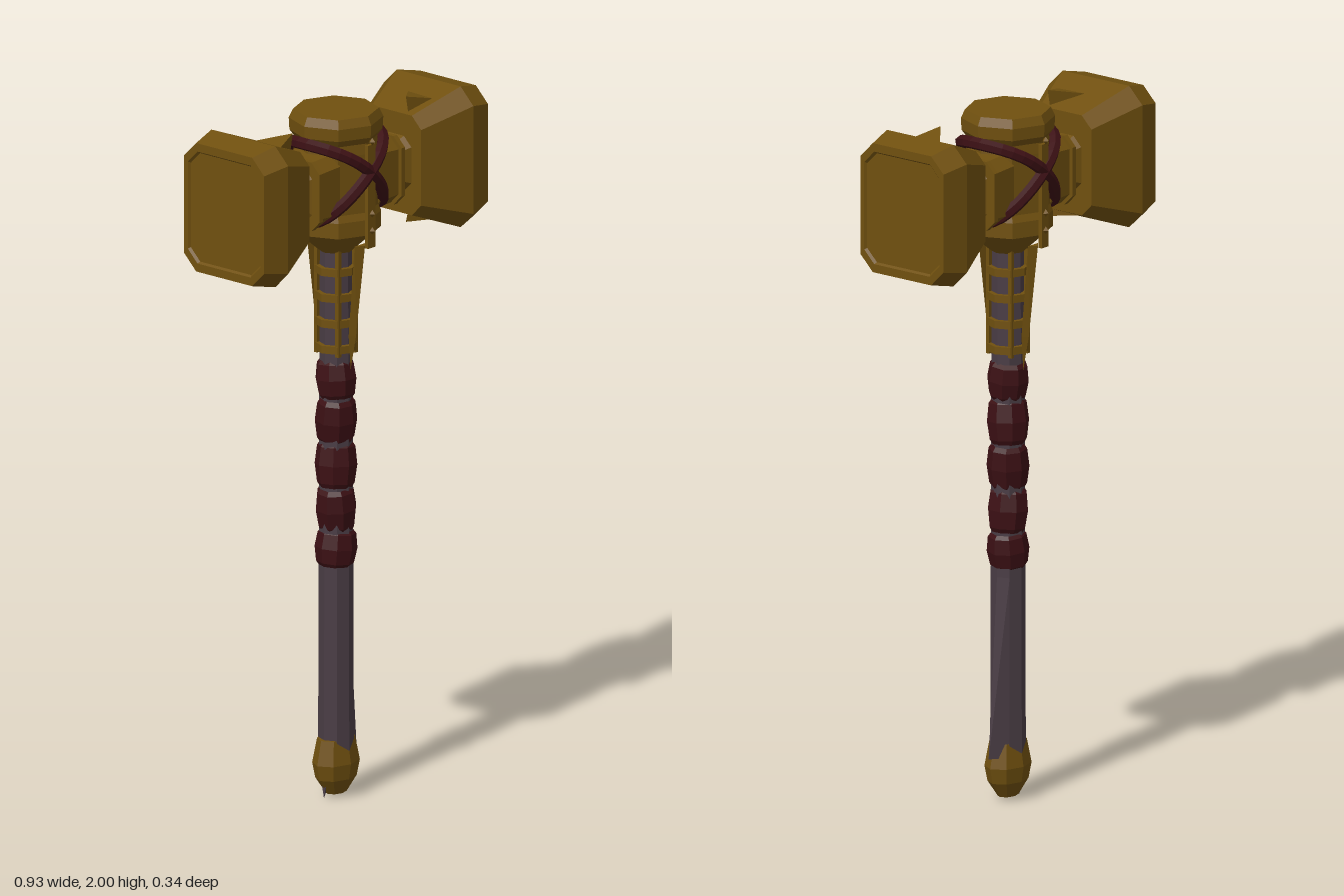
import * as THREE from 'three';
import { ConvexGeometry } from 'three/addons/geometries/ConvexGeometry.js';

const material = (name, color) => {
  const m = new THREE.MeshStandardMaterial({ color });
  m.name = name;
  m.flatShading = true;
  return m;
};

// Chamfered rectangle ring around the x axis: half height, half depth, chamfer
const ring = (x, h, d, c) => [
  [h, -d + c], [h, d - c], [h - c, d], [-h + c, d],
  [-h, d - c], [-h, -d + c], [-h + c, -d], [h - c, -d],
].map(([y, z]) => [x, y, z]);

// Skin a list of rings and close both ends
function loft(rings) {
  const pos = [];
  const n = rings[0].length;
  const tri = (a, b, c) => pos.push(...a, ...b, ...c);
  for (let i = 0; i + 1 < rings.length; i++) {
    for (let k = 0; k < n; k++) {
      const j = (k + 1) % n;
      const [a, b, c, d] = [rings[i][k], rings[i][j], rings[i + 1][k], rings[i + 1][j]];
      tri(a, b, d);
      tri(a, d, c);
    }
  }
  const first = rings[0], last = rings[rings.length - 1];
  for (let k = 1; k + 1 < n; k++) {
    tri(first[0], first[k + 1], first[k]);
    tri(last[0], last[k], last[k + 1]);
  }
  const g = new THREE.BufferGeometry();
  g.setAttribute('position', new THREE.Float32BufferAttribute(pos, 3));
  g.computeVertexNormals();
  return g;
}

const lathe = (points, sides = 8) =>
  new THREE.LatheGeometry(points.map(([r, y]) => new THREE.Vector2(r, y)), sides);
const hull = (points) => new ConvexGeometry(points.map((p) => new THREE.Vector3(...p)));

export function createModel() {
  const root = new THREE.Group();
  root.name = 'warHammer';
  const gold = material('agedGold', 0x70500f);
  const leather = material('darkRedLeather', 0x3c1014);
  const wood = material('greyWood', 0x4a3d45);
  const add = (name, geo, mat, parent = root) => {
    const m = new THREE.Mesh(geo, mat);
    m.name = name;
    parent.add(m);
    return m;
  };

  // Shaft, with one lower corner flaring out to the side
  const shaft = new THREE.CylinderGeometry(0.045, 0.05, 1.5, 8, 3);
  const p = shaft.attributes.position;
  const levels = [0.13, 0.65, 1.28, 1.62];
  for (let i = 0; i < p.count; i++) {
    const level = Math.round((p.getY(i) + 0.75) / 0.5);
    p.setY(i, levels[level]);
    if (level === 0 && p.getX(i) > 0.045) p.setX(i, 0.085);
  }
  add('shaft', shaft, wood);
  add('splinter', hull([[-0.05, 0, 0], [-0.05, 0.06, 0.012], [-0.05, 0.06, -0.012], [-0.025, 0.05, 0]]), wood);

  // Flattened pommel
  const pommel = add('pommel', lathe([[0, 0.01], [0.035, 0.01], [0.068, 0.055], [0.078, 0.1], [0.062, 0.17], [0, 0.17]]), gold);
  pommel.scale.z = 0.72;

  // Bulging grip wraps, each slightly tilted
  const breaks = [0.67, 0.775, 0.9, 1.03, 1.16, 1.27];
  for (let i = 0; i < 5; i++) {
    const h = (breaks[i + 1] - breaks[i]) / 2;
    const wrap = add('gripWrap', lathe([[0.045, -h], [0.053, -h * 0.8], [0.06, 0], [0.054, h * 0.8], [0.045, h]]), leather);
    wrap.position.y = breaks[i] + h;
    wrap.rotation.z = i % 2 ? 0.1 : -0.1;
    wrap.rotation.y = i * 0.3;
  }

  // Collar rings, long spikes and side bars below the head
  for (const y of [1.31, 1.385, 1.46, 1.535]) {
    add('collarRing', new THREE.CylinderGeometry(0.06, 0.06, 0.022, 8), gold).position.y = y;
  }
  for (const s of [1, -1]) {
    add('collarSpike', hull([
      [-0.022, 1.62, s * 0.09], [0.022, 1.62, s * 0.09], [0, 1.62, s * 0.108],
      [-0.014, 1.35, s * 0.06], [0.014, 1.35, s * 0.06], [0, 1.35, s * 0.075], [0, 1.25, s * 0.055],
    ]), gold);
    for (const x of [-0.035, 0.035]) {
      const bar = add('collarBar', new THREE.BoxGeometry(0.012, 0.32, 0.012), gold);
      bar.position.set(x, 1.45, s * 0.04);
    }
    // Riveted strip on the drum face
    add('drumStrip', new THREE.BoxGeometry(0.03, 0.3, 0.012), gold).position.set(0, 1.77, s * 0.128);
    for (const y of [1.67, 1.72, 1.93]) {
      add('rivet', new THREE.OctahedronGeometry(0.011), gold).position.set(0, y, s * 0.136);
    }
  }

  // Central octagonal drum
  add('drum', lathe([
    [0, 1.59], [0.05, 1.59], [0.085, 1.62], [0.126, 1.655], [0.126, 1.7], [0.118, 1.72],
    [0.118, 1.89], [0.115, 1.92], [0.13, 1.94], [0.132, 1.975], [0.12, 2], [0, 2],
  ]), gold);

  // Two tilted leather loops crossing on the front and back
  for (const s of [1, -1]) {
    const path = [];
    for (let i = 0; i < 16; i++) {
      const a = (i / 16) * Math.PI * 2;
      path.push(new THREE.Vector3(
        0.132 * Math.sin(a),
        1.81 + s * 0.115 * Math.sin(a) + 0.03 * Math.cos(a) ** 2,
        0.13 * Math.cos(a)));
    }
    add('crossStrap', new THREE.TubeGeometry(new THREE.CatmullRomCurve3(path, true), 32, 0.018, 6, true), leather);
  }

  // Striking heads and necks, one per side
  for (const s of [1, -1]) {
    const side = new THREE.Group();
    side.name = s > 0 ? 'leftHead' : 'rightHead';
    side.position.y = 1.795;
    side.rotation.y = s > 0 ? 0 : Math.PI;
    root.add(side);

    add('strikingBlock', loft([
      ring(0.232, 0.145, 0.11, 0.035), ring(0.385, 0.205, 0.168, 0.048),
      ring(0.465, 0.187, 0.15, 0.045), ring(0.465, 0.163, 0.136, 0.036), ring(0.458, 0.158, 0.131, 0.035),
    ]), gold, side);
    add('neck', loft([
      ring(0.08, 0.1, 0.088, 0.03), ring(0.165, 0.095, 0.088, 0.03),
      ring(0.185, 0.07, 0.062, 0.025), ring(0.205, 0.065, 0.058, 0.022), ring(0.24, 0.085, 0.078, 0.03),
    ]), gold, side);
    add('neckFlange', loft([ring(0.163, 0.1, 0.098, 0.03), ring(0.178, 0.1, 0.098, 0.03)]), gold, side);

    for (const v of [1, -1]) {
      // Pointed fins on the inner edge of the block
      add('blockFin', hull([
        [0.335, v * 0.175, -0.03 * s], [0.325, v * 0.175, 0.08 * s],
        [0.25, v * 0.12, 0.05 * s], [0.235, v * (v > 0 ? 0.195 : 0.17), 0.05 * s],
      ]), gold, side);
      // Small spurs on the neck
      add('neckSpur', hull([
        [0.18, v * 0.05, -0.03], [0.18, v * 0.05, 0.03], [0.235, v * 0.06, 0], [0.19, v * 0.095, 0],
      ]), gold, side);
    }
  }
  return root;
}
